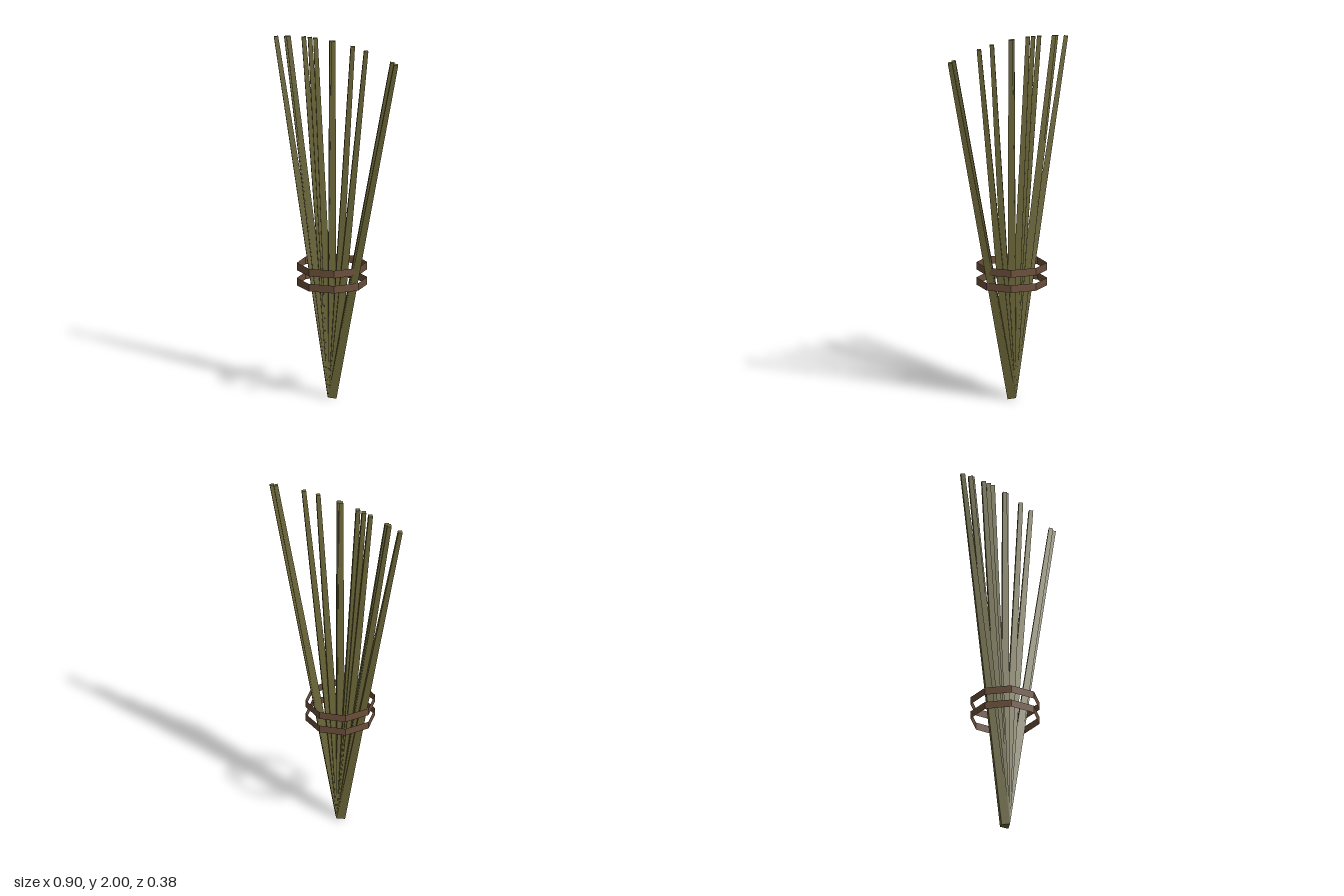
import * as THREE from 'three';

export function createModel() {
  const group = new THREE.Group();
  const reed = new THREE.MeshStandardMaterial({ color: 0x6b6638 });
  reed.name = 'olive reed';
  reed.flatShading = true;
  const leather = new THREE.MeshStandardMaterial({ color: 0x6b4f3a, side: THREE.DoubleSide });
  leather.name = 'brown binding';
  leather.flatShading = true;

  const baseX = -0.03, baseY = 0.007, length = 1.993;

  // Tapered four-sided stalks fanning out from one shared foot
  const stalkGeo = new THREE.CylinderGeometry(0.0165, 0.033, length, 4);
  stalkGeo.translate(0, length / 2, 0);
  const tipX = [-0.436, -0.362, -0.346, -0.235, -0.19, -0.15, -0.034, -0.021, 0.12, 0.217, 0.408, 0.434];
  for (const x of tipX) {
    const stalk = new THREE.Mesh(stalkGeo, reed);
    stalk.name = 'stalk';
    stalk.position.set(baseX, baseY, 0);
    stalk.rotation.z = -Math.asin((x - baseX) / length);
    group.add(stalk);
  }

  // Two open eight-sided bands around the bundle
  const bandGeo = new THREE.CylinderGeometry(0.191, 0.191, 0.042, 8, 1, true);
  for (const y of [0.653, 0.738]) {
    const band = new THREE.Mesh(bandGeo, leather);
    band.name = 'bindingBand';
    band.position.set(baseX, y, 0);
    group.add(band);
  }
  return group;
}
